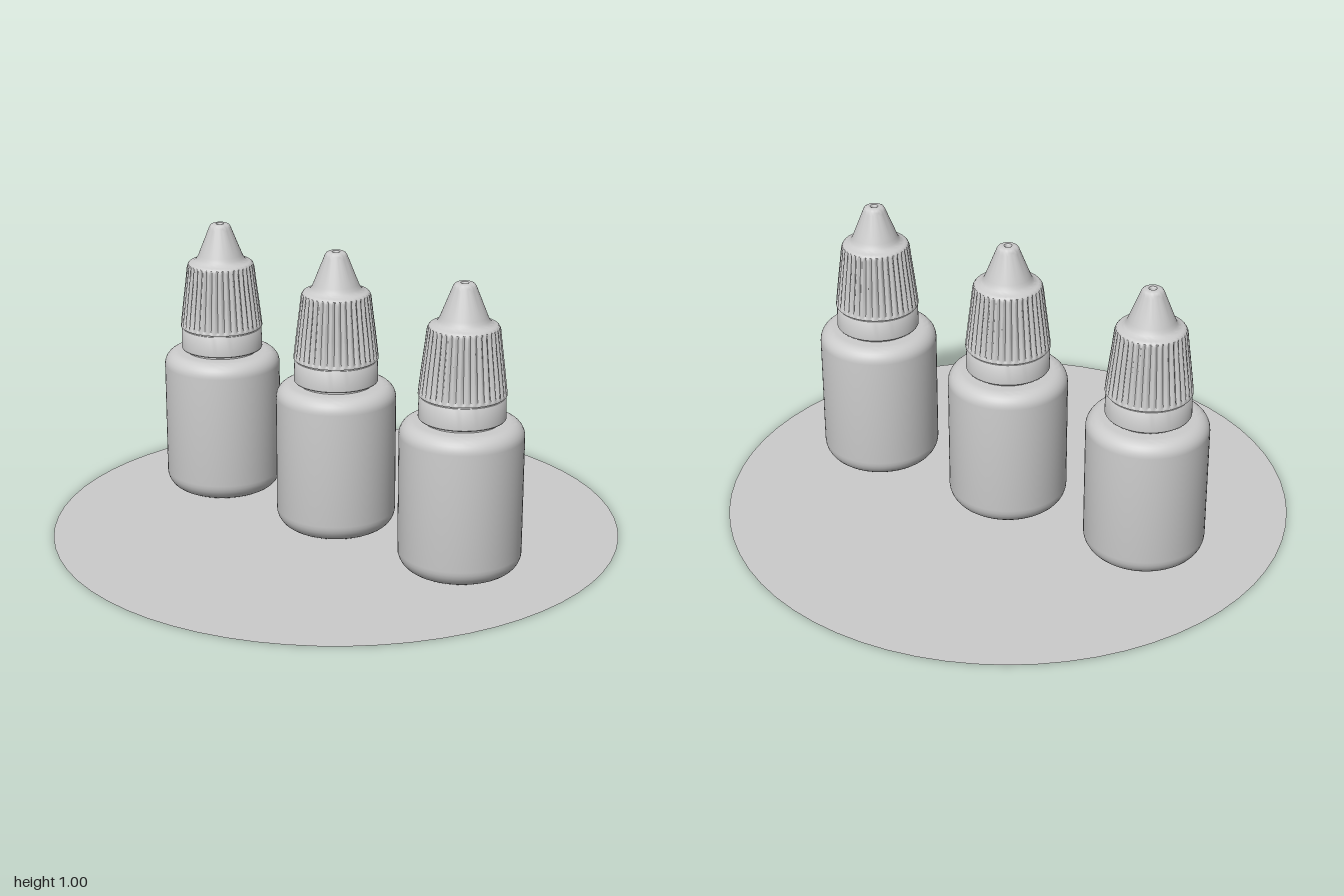
import * as THREE from 'three';
import { mergeVertices, toCreasedNormals } from 'three/addons/utils/BufferGeometryUtils.js';

const material = new THREE.MeshStandardMaterial({ color: 0xcccccc, side: THREE.DoubleSide });

// Quarter-round corner points, angles in degrees
function arc(cx, cy, r, from, to, steps = 8) {
  return Array.from({ length: steps + 1 }, (_, i) => {
    const a = THREE.MathUtils.degToRad(from + (to - from) * i / steps);
    return [cx + r * Math.cos(a), cy + r * Math.sin(a)];
  });
}

// Turned part from an [r, y] profile, optionally reshaped by a rule, with sharp edges kept
function turned(profile, segments, rule) {
  const geo = new THREE.LatheGeometry(profile.map(([r, y]) => new THREE.Vector2(r, y)), segments);
  geo.deleteAttribute('uv');
  geo.deleteAttribute('normal');
  if (rule) {
    const p = geo.attributes.position;
    for (let i = 0; i < p.count; i++) {
      const s = rule(Math.atan2(p.getX(i), p.getZ(i)), p.getY(i));
      p.setX(i, p.getX(i) * s);
      p.setZ(i, p.getZ(i) * s);
    }
  }
  return toCreasedNormals(mergeVertices(geo, 1e-5), 0.6);
}

// Narrow grooves between broad ribs, fading out at both ends of the grip
const RIBS = 36;
function flute(angle, y) {
  const fade = THREE.MathUtils.smoothstep(y, 0.622, 0.638) * (1 - THREE.MathUtils.smoothstep(y, 0.842, 0.858));
  return 1 - 0.065 * fade * Math.pow(0.5 + 0.5 * Math.cos(angle * RIBS), 1.5);
}

export function createModel() {
  const model = new THREE.Group();
  const add = (parent, name, geometry) => {
    const mesh = new THREE.Mesh(geometry, material);
    mesh.name = name;
    parent.add(mesh);
    return mesh;
  };

  // Flat round ground disc
  add(model, 'baseDisc', new THREE.CircleGeometry(1, 64).rotateX(-Math.PI / 2));

  // Bottle with rounded shoulder and foot, running up into the neck
  const bottle = turned([
    [0, 0.002], ...arc(0.145, 0.067, 0.065, -90, 0), ...arc(0.16, 0.477, 0.05, 0, 90),
    [0.13, 0.528], [0.13, 0.56],
  ], 64);

  // Plain collar under the cap
  const collar = turned([
    [0.12, 0.538], [0.145, 0.538], [0.147, 0.541], [0.145, 0.612], [0.143, 0.615], [0.12, 0.615],
  ], 64);

  // Ribbed grip of the cap
  const grip = turned([
    [0.12, 0.615], [0.139, 0.615], [0.139, 0.621], [0.148, 0.621], [0.148, 0.626], [0.147, 0.632],
    [0.1465, 0.64], [0.137, 0.72], [0.128, 0.79], [0.1225, 0.838], [0.121, 0.846], [0.118, 0.853],
    [0.113, 0.858], [0.104, 0.861],
  ], RIBS * 8, flute);

  // Conical tip with flared foot and a small dimple on top
  const tip = turned([
    [0.106, 0.86], [0.097, 0.863], [0.09, 0.868], [0.084, 0.876], [0.079, 0.887], [0.042, 0.98],
    [0.039, 0.988], [0.034, 0.996], [0.027, 1], [0.014, 1], [0.011, 0.997], [0.009, 0.988], [0, 0.986],
  ], 48);

  // Three matching bottles in a row
  for (const z of [-0.567, 0, 0.567]) {
    const dropper = new THREE.Group();
    dropper.name = 'dropperBottle';
    dropper.position.z = z;
    add(dropper, 'bottleBody', bottle);
    add(dropper, 'collar', collar);
    add(dropper, 'capGrip', grip);
    add(dropper, 'capTip', tip);
    model.add(dropper);
  }
  return model;
}
